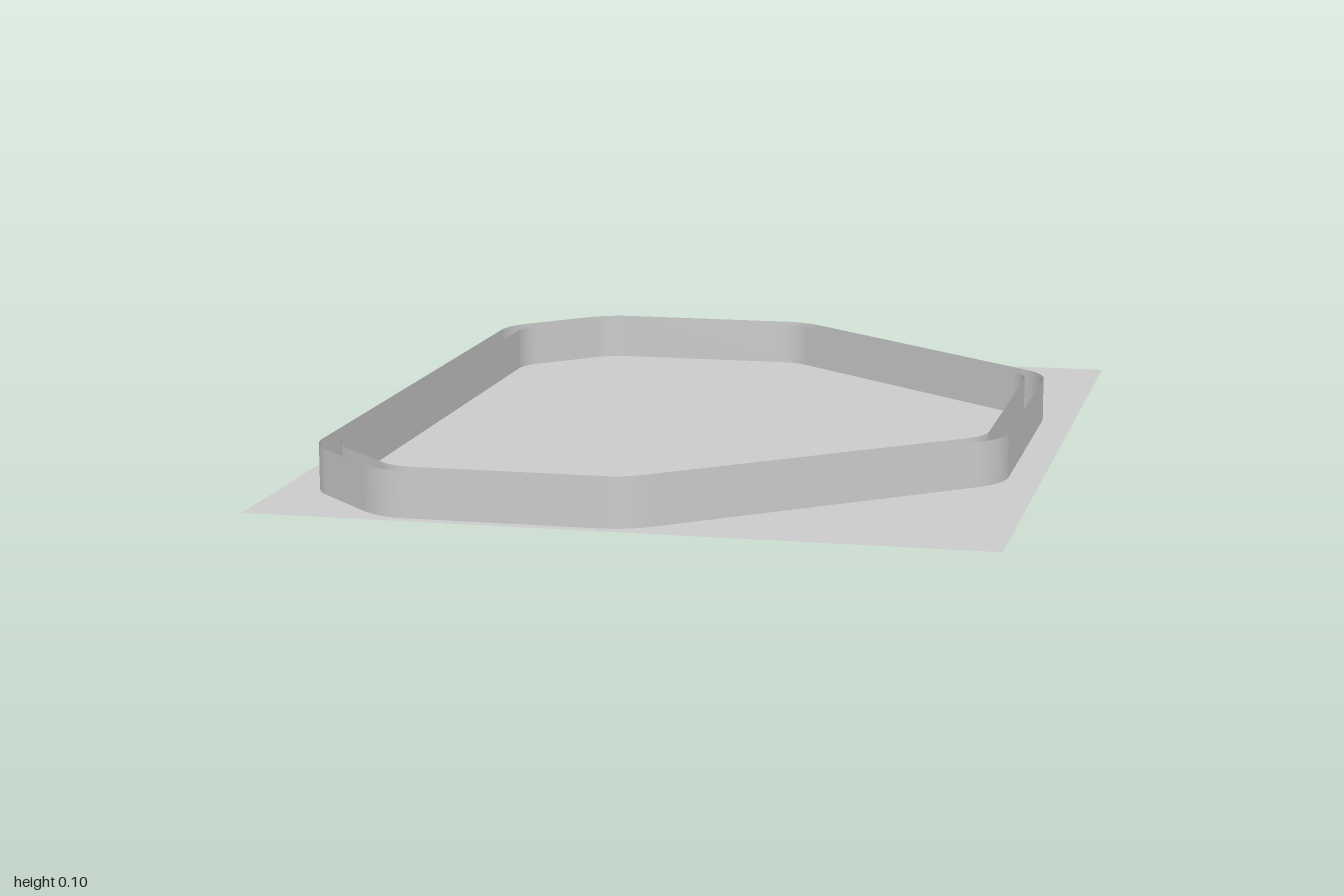
import * as THREE from 'three';

const HEIGHT = 0.1;   // wall height
const RADIUS = 0.15;  // rounding of the outer corners
const GAP = 0.045;    // distance between the two walls
const ARC_STEPS = 8;

// Half of the sharp outline in (x, z); the other half is mirrored in z
const half = [[0.725, 0.385], [0.024, 0.975], [-0.51, 0.975], [-0.725, 0.76]];
const corners = [...half, ...half.map(([x, z]) => [x, -z]).reverse()]
  .map(([x, z]) => new THREE.Vector2(x, z));

const material = () => new THREE.MeshStandardMaterial({ color: 0xcccccc, side: THREE.DoubleSide });

// Outward normal of the edge from a to b
const edgeNormal = (a, b) => new THREE.Vector2(b.y - a.y, a.x - b.x).normalize();

// Upright open band along the rounded outline; facing is 1 for outward, -1 for inward
function createWall(name, radius, facing) {
  const positions = [], normals = [], index = [];
  const n = corners.length;
  corners.forEach((corner, i) => {
    const n1 = edgeNormal(corners[(i + n - 1) % n], corner);
    const n2 = edgeNormal(corner, corners[(i + 1) % n]);
    const centre = corner.clone().addScaledVector(n1.clone().add(n2), -RADIUS / (1 + n1.dot(n2)));
    const turn = Math.acos(n1.dot(n2));
    for (let s = 0; s <= ARC_STEPS; s++) {
      const angle = n1.angle() + turn * s / ARC_STEPS;
      const c = Math.cos(angle), d = Math.sin(angle);
      for (const y of [0, HEIGHT]) {
        positions.push(centre.x + radius * c, y, centre.y + radius * d);
        normals.push(facing * c, 0, facing * d);
      }
    }
  });
  const count = positions.length / 6;
  for (let i = 0; i < count; i++) {
    const a = 2 * i, b = 2 * ((i + 1) % count);
    if (facing > 0) index.push(a, a + 1, b, b, a + 1, b + 1);
    else index.push(a, b, a + 1, b, b + 1, a + 1);
  }
  const geometry = new THREE.BufferGeometry();
  geometry.setAttribute('position', new THREE.Float32BufferAttribute(positions, 3));
  geometry.setAttribute('normal', new THREE.Float32BufferAttribute(normals, 3));
  geometry.setIndex(index);
  const mesh = new THREE.Mesh(geometry, material());
  mesh.name = name;
  return mesh;
}

export function createModel() {
  const model = new THREE.Group();
  model.name = 'walledTrack';

  // Flat ground sheet
  const sheet = new THREE.Mesh(new THREE.PlaneGeometry(1.6, 2).rotateX(-Math.PI / 2), material());
  sheet.name = 'baseSheet';

  // Two parallel walls, open at the top
  model.add(
    sheet,
    createWall('outerWall', RADIUS, 1),
    createWall('innerWall', RADIUS - GAP, -1),
  );
  return model;
}
